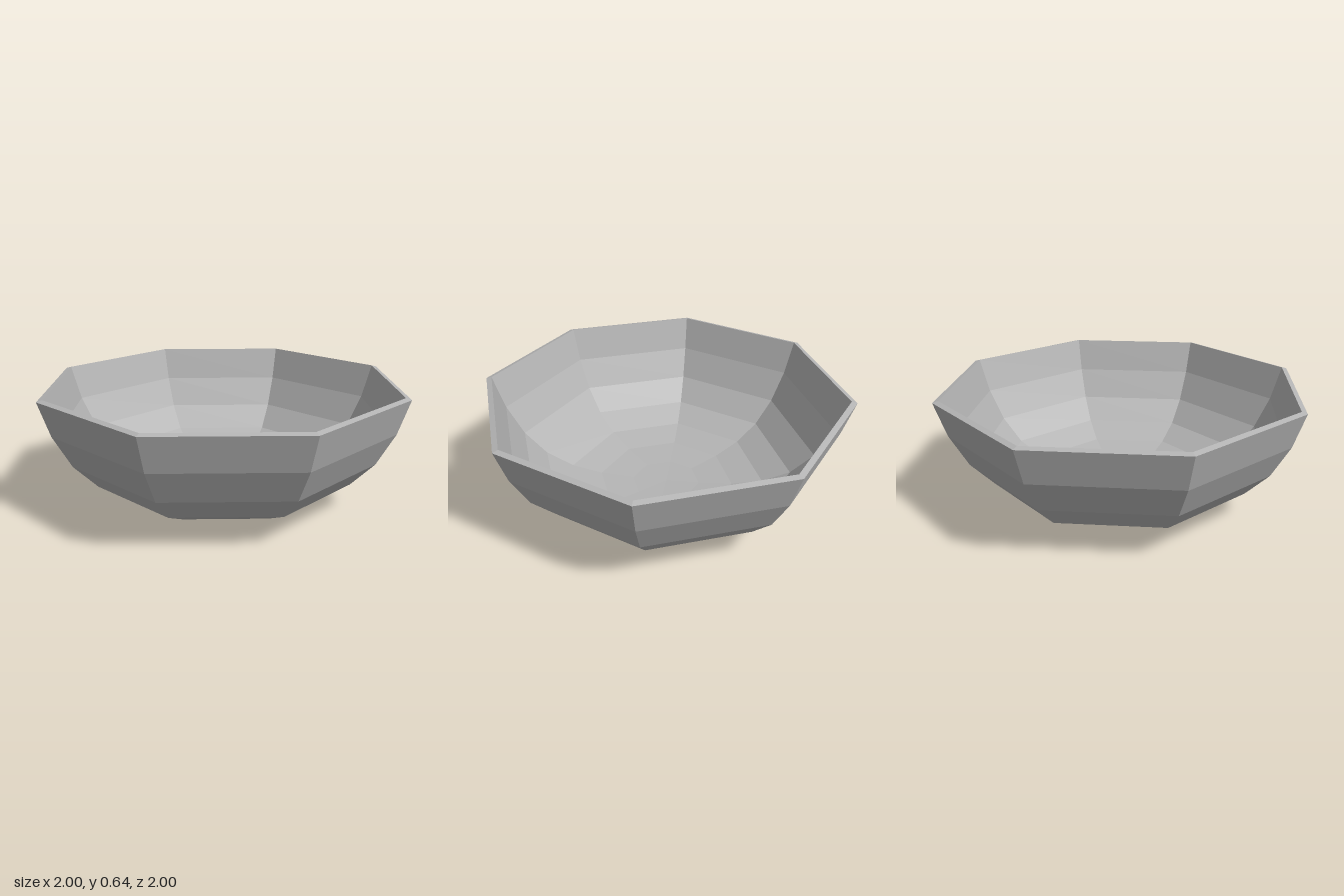
import * as THREE from 'three';

const SIDES = 8;

// Revolves [radius, height] pairs into an eight-sided faceted shell.
// Profiles run so that the outside lies to the right of the path.
function facetedRing(name, profile, material) {
  const points = profile.map(([r, y]) => new THREE.Vector2(r, y));
  const geometry = new THREE.LatheGeometry(points, SIDES).toNonIndexed();
  geometry.computeVertexNormals();
  const mesh = new THREE.Mesh(geometry, material);
  mesh.name = name;
  return mesh;
}

export function createModel() {
  const bowl = new THREE.Group();
  bowl.name = 'bowl';

  const stone = new THREE.MeshStandardMaterial({ color: 0xb4b4b4, flatShading: true });
  stone.name = 'grey ceramic';

  // Low foot with a shallow recess in the middle of its underside
  bowl.add(facetedRing('foot', [
    [0, 0.02], [0.19, 0.02], [0.19, 0], [0.38, 0.01], [0.38, 0.03],
  ], stone));

  // Outer wall, curving up from the foot
  bowl.add(facetedRing('outerWall', [
    [0.38, 0.03], [0.56, 0.066], [0.72, 0.145], [0.845, 0.275], [0.94, 0.45], [1, 0.637],
  ], stone));

  // Narrow rim, tipped slightly outward
  bowl.add(facetedRing('rim', [[1, 0.637], [0.97, 0.645]], stone));

  // Inner wall and floor
  bowl.add(facetedRing('innerWall', [
    [0.97, 0.645], [0.91, 0.46], [0.82, 0.295], [0.7, 0.17], [0.55, 0.095], [0.38, 0.058],
  ], stone));
  bowl.add(facetedRing('floor', [[0.38, 0.058], [0.19, 0.045], [0, 0.04]], stone));

  return bowl;
}
